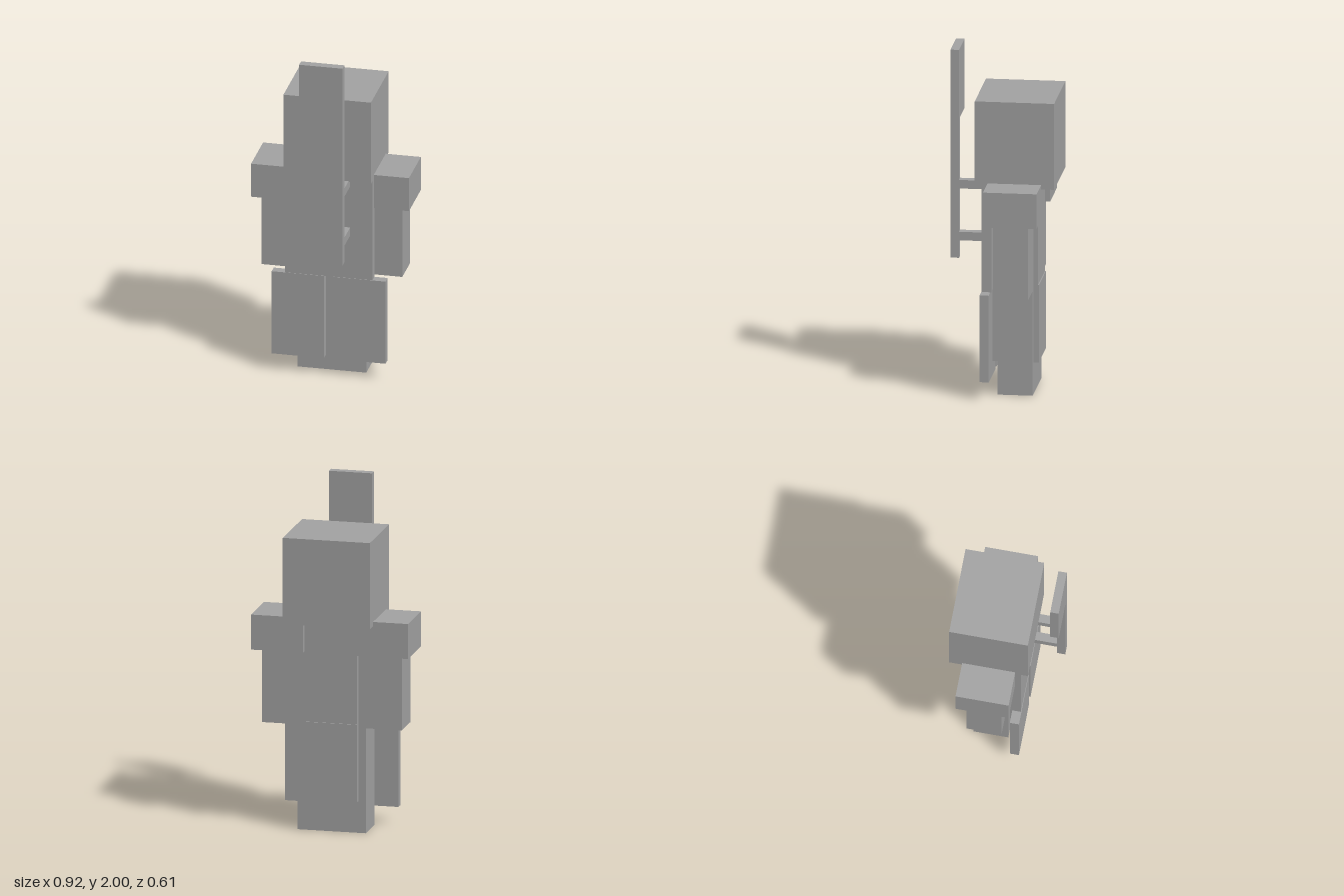
import * as THREE from 'three';

const grey = new THREE.MeshStandardMaterial({ color: 0xa3a3a3 });
grey.name = 'plain grey';

// Box given by its minimum and maximum corners
function block(name, [x0, y0, z0], [x1, y1, z1]) {
  const geometry = new THREE.BoxGeometry(x1 - x0, y1 - y0, z1 - z0);
  geometry.translate((x0 + x1) / 2, (y0 + y1) / 2, (z0 + z1) / 2);
  const mesh = new THREE.Mesh(geometry, grey);
  mesh.name = name;
  return mesh;
}

export function createModel() {
  const model = new THREE.Group();
  model.name = 'blockFigure';

  // Head and body
  model.add(
    block('head', [-0.255, 1.23, -0.305], [0.255, 1.735, 0.15]),
    block('torso', [-0.155, 0.64, -0.2], [0.155, 1.23, 0.055]),
    block('chestPlate', [-0.255, 0.615, 0.055], [0.255, 1.23, 0.11]),
    block('skirt', [-0.155, 0.185, -0.205], [0.155, 0.64, 0.06]),
  );

  // Paired limbs and armour
  for (const [side, s] of [['left', 1], ['right', -1]]) {
    const pair = (part, x0, x1, y0, y1, z0, z1) =>
      model.add(block(side + part, [Math.min(s * x0, s * x1), y0, z0], [Math.max(s * x0, s * x1), y1, z1]));
    pair('ShoulderPad', 0.155, 0.46, 1.05, 1.255, -0.23, 0.077);
    pair('Arm', 0.155, 0.41, 0.615, 1.05, -0.175, 0.027);
    pair('Leg', 0, 0.2, 0, 0.615, -0.175, 0.027);
    pair('ThighPlate', 0.027, 0.332, 0.105, 0.615, 0.06, 0.113);
  }

  // Banner: pole and flag in one flat piece
  const outline = [[0.075, 0.777], [0.125, 0.777], [0.125, 2], [-0.128, 2], [-0.128, 1.595], [0.075, 1.595]];
  const shape = new THREE.Shape(outline.map(([x, y]) => new THREE.Vector2(x, y)));
  const bannerGeometry = new THREE.ExtrudeGeometry(shape, { depth: 0.049, bevelEnabled: false });
  bannerGeometry.translate(0, 0, 0.256);
  const banner = new THREE.Mesh(bannerGeometry, grey);
  banner.name = 'banner';
  model.add(banner);

  // Brackets joining the pole to the chest
  for (const [name, y] of [['lowerBracket', 0.88], ['upperBracket', 1.185]]) {
    model.add(block(name, [0.075, y, 0.053], [0.125, y + 0.05, 0.256]));
  }
  return model;
}
